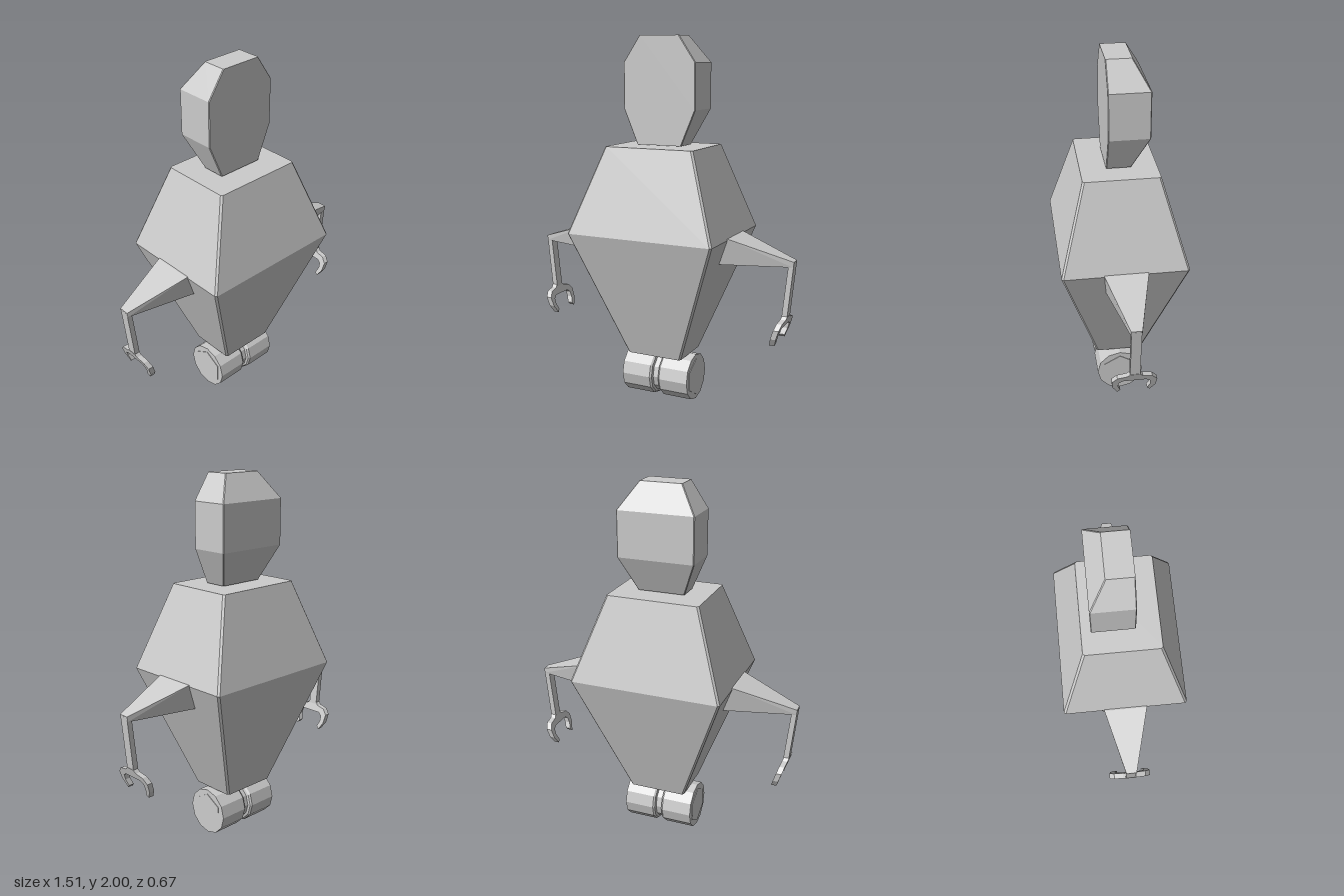
import * as THREE from 'three';
import { ConvexGeometry } from 'three/addons/geometries/ConvexGeometry.js';

const material = new THREE.MeshStandardMaterial({ color: 0xcccccc, flatShading: true });

function part(name, geometry, parent) {
  const mesh = new THREE.Mesh(geometry, material);
  mesh.name = name;
  parent.add(mesh);
  return mesh;
}

// Convex block through level rectangles [y, halfWidth, zBack, zFront] with trimmed corners
function block(sections, trim) {
  const points = [];
  for (const [y, w, back, front] of sections) {
    for (const s of [-1, 1]) {
      points.push(
        new THREE.Vector3(s * w, y, back + trim), new THREE.Vector3(s * (w - trim), y, back),
        new THREE.Vector3(s * w, y, front - trim), new THREE.Vector3(s * (w - trim), y, front));
    }
  }
  return new ConvexGeometry(points);
}

// Convex limb through z-symmetric points [x, y, halfDepth]
function limb(profile) {
  return new ConvexGeometry(profile.flatMap(([x, y, d]) =>
    [new THREE.Vector3(x, y, d), new THREE.Vector3(x, y, -d)]));
}

// Two-fingered claw, extruded sideways and leaning in towards the body
function clawGeometry() {
  const half = [[0.026, 0.56], [0.04, 0.545], [0.09, 0.535], [0.117, 0.505], [0.112, 0.455],
    [0.085, 0.412], [0.07, 0.428], [0.084, 0.462], [0.082, 0.492], [0.06, 0.508]];
  const mirrored = half.map(([z, y]) => [-z, y]).reverse();
  const shape = new THREE.Shape([...half, ...mirrored].map(([z, y]) => new THREE.Vector2(z, y)));
  const geometry = new THREE.ExtrudeGeometry(shape, { depth: 0.03, bevelEnabled: false });
  geometry.rotateY(Math.PI / 2);
  const pos = geometry.attributes.position;
  for (let i = 0; i < pos.count; i++) {
    pos.setX(i, pos.getX(i) + 0.694 + (pos.getY(i) - 0.55) * 0.32);
  }
  geometry.computeVertexNormals();
  return geometry;
}

export function createModel() {
  const model = new THREE.Group();
  model.name = 'robot';

  // Torso: two tapered blocks meeting at the widest line
  part('torso', block([
    [0.26, 0.16, -0.13, 0.13],
    [0.955, 0.42, -0.333, 0.333],
    [1.42, 0.255, -0.2, 0.2],
  ], 0.01), model);

  // Head: flat face, tapered back and sides
  part('head', block([
    [1.425, 0.13, -0.065, 0.065],
    [1.615, 0.21, -0.15, 0.065],
    [1.86, 0.21, -0.15, 0.065],
    [2.0, 0.115, -0.068, 0.065],
  ], 0.004), model);

  // Roller: twelve-sided drum with a groove round the middle
  const drum = [[0, -0.198], [0.13, -0.198], [0.13, -0.03], [0.122, -0.02], [0.108, -0.016],
    [0.108, 0.016], [0.122, 0.02], [0.13, 0.03], [0.13, 0.198], [0, 0.198]];
  const roller = part('roller',
    new THREE.LatheGeometry(drum.map(([r, x]) => new THREE.Vector2(r, x)), 12), model);
  roller.rotation.z = -Math.PI / 2;
  roller.position.y = 0.13;

  // Hexagonal caps on the roller ends
  for (const side of [-1, 1]) {
    const cap = part('rollerCap',
      new THREE.CylinderGeometry(0.105, 0.105, 0.01, 6, 1, false, Math.PI / 6), model);
    cap.rotation.z = Math.PI / 2;
    cap.position.set(side * 0.196, 0.13, 0);
  }

  // Arms: the right one is the left one turned half way round
  const upper = limb([[0.425, 0.962, 0.115], [0.36, 0.962, 0.115], [0.37, 0.818, 0.1],
    [0.33, 0.82, 0.1], [0.753, 0.856, 0.028], [0.75, 0.828, 0.028]]);
  const lower = limb([[0.753, 0.85, 0.026], [0.725, 0.85, 0.026],
    [0.724, 0.55, 0.026], [0.694, 0.55, 0.026]]);
  const claw = clawGeometry();
  for (const side of ['left', 'right']) {
    const arm = new THREE.Group();
    arm.name = side + 'Arm';
    part('upperArm', upper, arm);
    part('forearm', lower, arm);
    part('claw', claw, arm);
    if (side === 'right') arm.rotation.y = Math.PI;
    model.add(arm);
  }

  return model;
}
